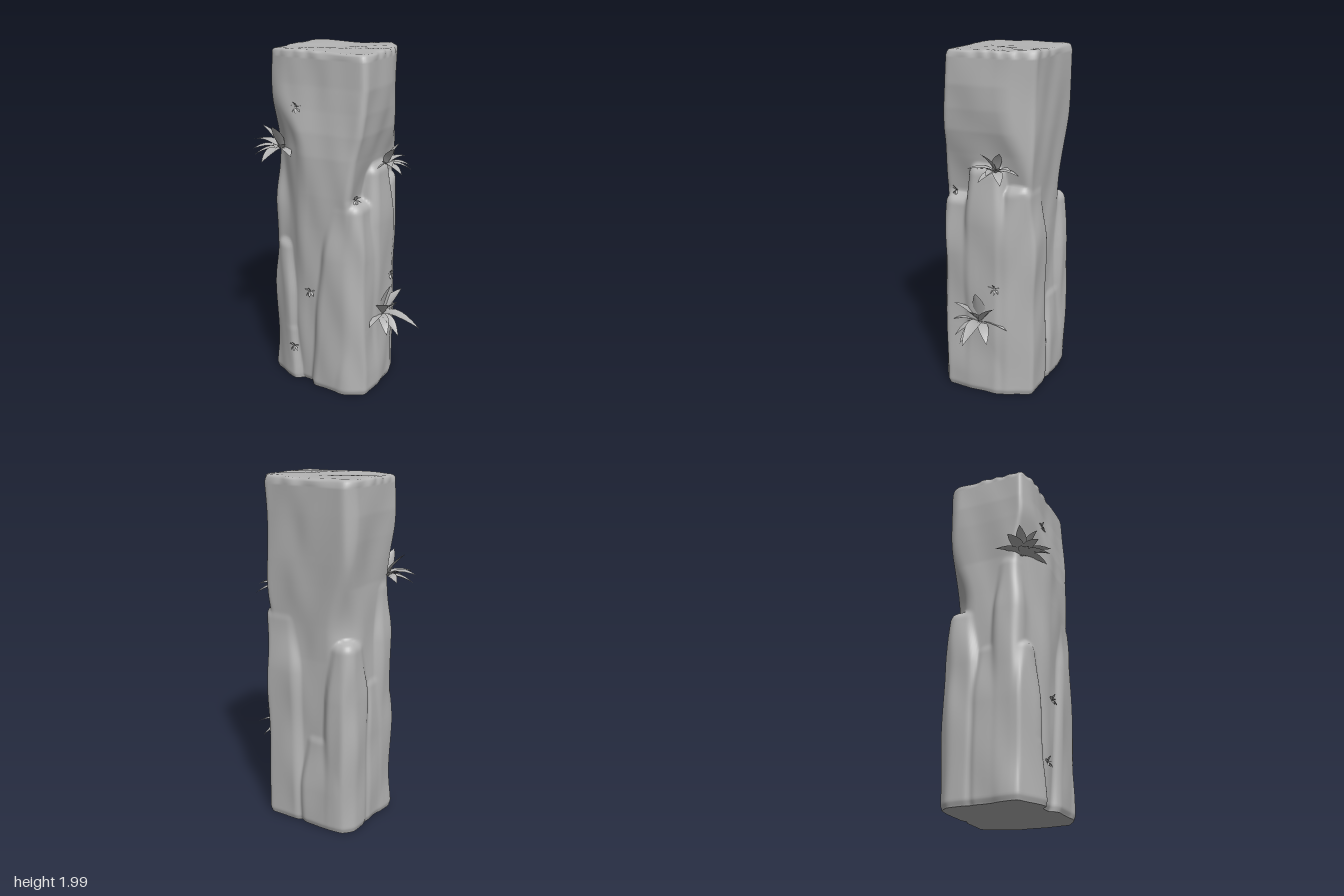
import * as THREE from 'three';

const CX = -0.03, CZ = -0.03; // axis of the pillar
const SEG = 220, ROWS = 180, RIM = 1.948;

// core half-profile stations: y, xMin, xMax, zMin, zMax
const core = [
  [0, -0.322, 0.24, -0.29, 0.218], [1.0, -0.322, 0.21, -0.285, 0.234], [1.2, -0.32, 0.2, -0.29, 0.24],
  [1.42, -0.32, 0.238, -0.298, 0.242], [1.55, -0.33, 0.265, -0.304, 0.234], [1.67, -0.338, 0.278, -0.308, 0.218],
  [1.8, -0.343, 0.283, -0.312, 0.206], [2.0, -0.337, 0.27, -0.316, 0.197],
];
// slabs leaning on the core: xMin, xMax, zMin, zMax, top, slant of the inner edge
const slabs = [
  [0.04, 0.285, -0.05, 0.257, 1.18, 0.11],
  [0.05, 0.296, -0.17, 0.1, 1.37, 0],
  [0.0, 0.285, -0.318, -0.1, 1.26, 0.03],
  [0.16, 0.3, -0.16, 0.262, 0.45, 0.06],
  [-0.353, -0.15, -0.02, 0.165, 1.42, 0],
  [-0.355, -0.16, -0.14, 0.225, 0.89, 0],
  [-0.357, -0.13, 0.0, 0.25, 0.37, 0],
  [-0.352, -0.16, -0.318, -0.09, 1.13, 0],
  [-0.31, 0.0, -0.32, 0.0, 0.57, 0],
];
const smooth = THREE.MathUtils.smoothstep;

function coreAt(y) {
  let i = 0;
  while (i < core.length - 2 && y > core[i + 1][0]) i++;
  const a = core[i], b = core[i + 1], t = (y - a[0]) / (b[0] - a[0]);
  return a.map((v, k) => v + (b[k] - v) * t);
}

function roundBox(px, py, pz, hx, hy, hz, r) {
  const qx = Math.abs(px) - hx + r, qy = Math.abs(py) - hy + r, qz = Math.abs(pz) - hz + r;
  return Math.hypot(Math.max(qx, 0), Math.max(qy, 0), Math.max(qz, 0)) + Math.min(Math.max(qx, qy, qz), 0) - r;
}

function smoothMin(a, b, k) {
  const h = Math.max(k - Math.abs(a - b), 0) / k;
  return Math.min(a, b) - h * h * k / 4;
}
const smoothMax = (a, b, k) => -smoothMin(-a, -b, k);

// weathering of the surface
function wear(x, y, z) {
  return 0.003 + 0.003 * Math.sin(9 * x + 6 * y + 3 * Math.sin(7 * z + 2 * y)) +
    0.0025 * Math.sin(17 * z - 11 * y + 2 * Math.sin(13 * x)) +
    0.002 * Math.sin(31 * x + 27 * z + 9 * y);
}

// signed distance to the rock, c being the core section at this height
function rock(x, y, z, c) {
  let d = roundBox(x - (c[1] + c[2]) / 2, 0, z - (c[3] + c[4]) / 2, (c[2] - c[1]) / 2, 1, (c[4] - c[3]) / 2, 0.035);
  // core corners: hollow above the front shelf, split right back, waisted left back
  d = smoothMax(d, -0.47 * x + 0.88 * z - 0.262 - 0.04 * smooth(y, 1.45, 1.75), 0.02);
  d = smoothMax(d, 0.9 * x - 0.43 * z - 0.317, 0.02);
  d = smoothMax(d, -0.75 * x - 0.66 * z - 0.35 - 0.09 * smooth(y, 1.15, 1.65), 0.03);
  for (const [x0, x1, z0, z1, top, slant] of slabs) {
    if (y > top + 0.05) continue;
    const inset = 0.026 * smooth(y, top - 0.35, top);
    const xa = x0 - slant * (1 - y / top);
    const s = roundBox(x - (xa + x1) / 2, y - (top - 1) / 2, z - (z0 + z1) / 2,
      (x1 - xa) / 2 - inset, (top + 1) / 2, (z1 - z0) / 2 - inset, 0.06);
    d = smoothMin(d, s, 0.015);
  }
  // broken vertical corners
  d = smoothMax(d, 0.875 * x - 0.48 * z - 0.331, 0.015);
  d = smoothMax(d, -0.81 * x - 0.58 * z - 0.43, 0.015);
  d = smoothMax(d, -0.47 * x + 0.88 * z - 0.307, 0.015);
  d = smoothMax(d, 0.49 * x + 0.87 * z - 0.32, 0.015);
  return d + wear(x, y, z);
}

// distance from the axis to the rock face in one direction
function reach(angle, y) {
  const c = coreAt(y), ux = Math.cos(angle), uz = Math.sin(angle);
  const at = r => rock(CX + ux * r, y, CZ + uz * r, c);
  let r = 0.5;
  while (r > 0.1 && at(r) > 0) r -= 0.012;
  let lo = r, hi = r + 0.012;
  for (let i = 0; i < 9; i++) {
    const m = (lo + hi) / 2;
    if (at(m) > 0) hi = m; else lo = m;
  }
  return lo;
}

function makeRock(material) {
  const pos = [], index = [], last = [], first = [];
  const addRing = (radius, height) => {
    for (let i = 0; i < SEG; i++) {
      const a = i / SEG * Math.PI * 2, r = radius(i, a);
      const x = CX + Math.cos(a) * r, z = CZ + Math.sin(a) * r;
      pos.push(x, height(x, z), z);
    }
  };
  for (let j = 0; j <= ROWS; j++) {
    const y = j / ROWS * RIM;
    addRing((i, a) => {
      const r = reach(a, y) - 0.01 * (1 - smooth(y, 0, 0.03));
      if (j === 0) first[i] = r;
      return last[i] = r;
    }, () => y);
  }
  // worn rim and uneven top with a shallow step
  const topY = (x, z) => 1.984 + 0.003 * Math.sin(11 * x + 3 * Math.sin(9 * z)) +
    0.008 * smooth(-z - 0.6 * x - 0.02 + 0.03 * Math.sin(20 * x), -0.02, 0.02) * smooth(x, -0.05, 0.15);
  const rim = [[0.99, 0.55], [0.97, 0.82], [0.94, 0.95], [0.88, 1], [0.75, 1], [0.6, 1], [0.45, 1], [0.3, 1], [0.15, 1], [0, 1]];
  for (const [f, t] of rim) {
    addRing((i, a) => last[i] * f - (f > 0.9 ? 0.005 * Math.sin(17 * a + 5 * Math.sin(2 * a + 1)) : 0),
      (x, z) => RIM + (topY(x, z) - RIM) * t);
  }
  for (let j = 0; j < ROWS + rim.length; j++) {
    for (let i = 0; i < SEG; i++) {
      const a = j * SEG + i, c = j * SEG + (i + 1) % SEG;
      index.push(a, a + SEG, c, c, a + SEG, c + SEG);
    }
  }
  const geo = new THREE.BufferGeometry();
  geo.setAttribute('position', new THREE.Float32BufferAttribute(pos, 3));
  geo.setIndex(index);
  geo.computeVertexNormals();
  const body = new THREE.Mesh(geo, material);
  body.name = 'rockPillar';

  // flat underside
  const outline = first.map((r, i) => {
    const a = i / SEG * Math.PI * 2;
    return new THREE.Vector2(CX + Math.cos(a) * r, CZ + Math.sin(a) * r);
  });
  const base = new THREE.Mesh(new THREE.ShapeGeometry(new THREE.Shape(outline)).rotateX(Math.PI / 2), material);
  base.name = 'underside';
  return [body, base];
}

// folded pointed leaf growing along +z, arching by droop
function leafGeometry(length, width, droop) {
  const pos = [], index = [], N = 7;
  for (let i = 0; i <= N; i++) {
    const t = i / N, w = width / 2 * Math.pow(Math.sin(Math.PI * (0.08 + 0.92 * t)), 0.9);
    const z = length * t * (1 - 0.15 * droop * t), y = -length * droop * t * t;
    pos.push(-w, y + w * 0.35, z, 0, y, z, w, y + w * 0.35, z);
    if (i < N) for (const k of [i * 3, i * 3 + 1]) index.push(k, k + 3, k + 1, k + 1, k + 3, k + 4);
  }
  const geo = new THREE.BufferGeometry();
  geo.setAttribute('position', new THREE.Float32BufferAttribute(pos, 3));
  geo.setIndex(index);
  geo.computeVertexNormals();
  return geo;
}

// tuft fanned around its outward heading (0 faces +z, 90 faces +x)
function makePlant(name, [x, y, z], heading, size, leaves, material) {
  const plant = new THREE.Group();
  plant.name = name;
  plant.position.set(x, y, z);
  leaves.forEach(([turn, lift, scale, droop]) => {
    const leaf = new THREE.Mesh(leafGeometry(size * scale, size * scale * 0.38, droop), material);
    leaf.name = 'leaf';
    leaf.rotation.set(-lift * Math.PI / 180, (heading + turn) * Math.PI / 180, 0, 'YXZ');
    plant.add(leaf);
  });
  return plant;
}

export function createModel() {
  const model = new THREE.Group();
  model.name = 'rockPillarWithPlants';
  const stone = new THREE.MeshStandardMaterial({ color: 0xb4b4b4, side: THREE.DoubleSide });
  stone.name = 'stoneGrey';
  model.add(...makeRock(stone));

  // leaf settings: turn, lift, length factor, droop
  const large = [
    [-90, 30, 0.85, 0.55], [-52, 38, 1, 0.5], [-20, 12, 0.85, 0.45], [5, 32, 0.9, 0.45],
    [35, 15, 0.95, 0.5], [62, 40, 0.9, 0.45], [92, 25, 0.85, 0.5], [-35, 62, 0.95, 0.2], [40, 66, 0.95, 0.15],
  ];
  const tall = [
    [-85, 30, 0.85, 0.6], [-50, 10, 0.8, 0.6], [3, 35, 1.07, 0.85], [-22, 5, 0.85, 0.6], [40, 8, 0.85, 0.55],
    [85, 30, 0.85, 0.6], [0, 76, 1.12, 0.05], [60, 52, 1.05, 0.15], [-60, 50, 1.05, 0.15], [-10, 55, 0.85, 0.2],
  ];
  const small = [[-80, 35, 1, 0.3], [-50, -25, 0.9, 0.4], [10, -45, 0.9, 0.3], [60, -10, 1, 0.3], [75, 40, 1, 0.3], [-15, 65, 1.1, 0.2]];

  model.add(
    makePlant('upperLeftPlant', [-0.29, 1.415, 0.15], -40, 0.185, large, stone),
    makePlant('upperRightPlant', [0.25, 1.335, -0.1], 90, 0.155, large, stone),
    makePlant('lowerRightPlant', [0.28, 0.44, -0.015], 90, 0.19, tall, stone),
  );
  const sprouts = [
    [-0.145, 1.675, 0.21, 0], [0.205, 1.19, 0.17, 60], [-0.06, 0.605, 0.228, 0], [-0.17, 0.225, 0.238, 0], [0.285, 0.665, -0.11, 90],
  ];
  sprouts.forEach(([x, y, z, heading], i) =>
    model.add(makePlant('sprout' + (i + 1), [x, y, z], heading, 0.04, small, stone)));
  return model;
}
